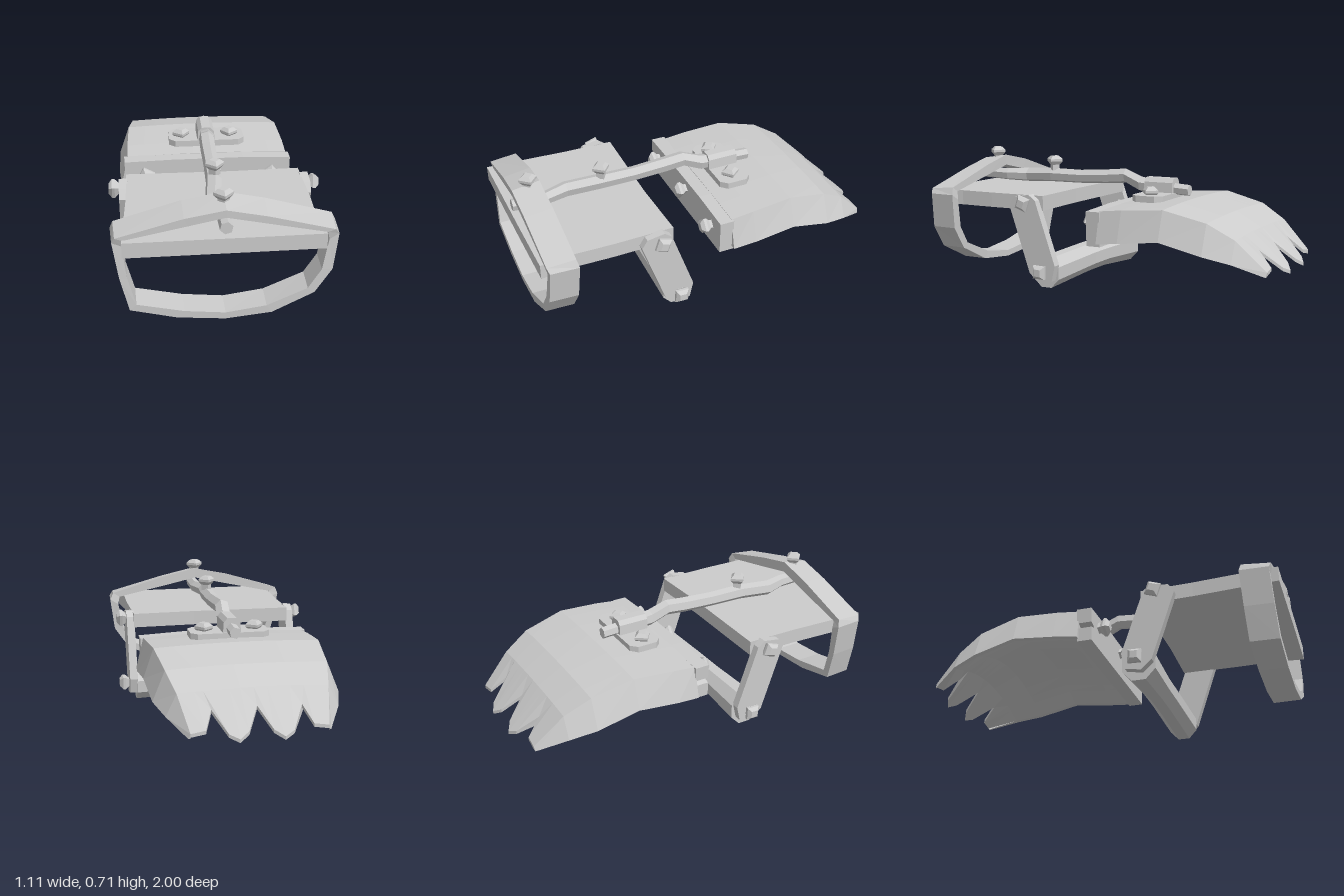
import * as THREE from 'three';

const metal = new THREE.MeshStandardMaterial({ color: 0xcccccc, flatShading: true, side: THREE.DoubleSide });
metal.name = 'grey metal';

// Skin a list of equal-length rings; either close it into a hoop or cap both ends
function loft(rings, hoop = false) {
  const n = rings[0].length, m = rings.length, idx = [];
  for (let r = 0; r < (hoop ? m : m - 1); r++) {
    for (let i = 0; i < n; i++) {
      const a = r * n + i, b = r * n + (i + 1) % n;
      const c = ((r + 1) % m) * n + i, d = ((r + 1) % m) * n + (i + 1) % n;
      idx.push(a, b, c, b, d, c);
    }
  }
  if (!hoop) {
    for (const [o, flip] of [[0, false], [(m - 1) * n, true]]) {
      for (let i = 0; i < n / 2 - 1; i++) {
        const a = o + i, b = o + i + 1, c = o + n - 2 - i, d = o + n - 1 - i;
        idx.push(...(flip ? [a, b, c, a, c, d] : [a, c, b, a, d, c]));
      }
    }
  }
  const g = new THREE.BufferGeometry();
  g.setAttribute('position', new THREE.Float32BufferAttribute(rings.flat(2), 3));
  g.setIndex(idx);
  const flat = g.toNonIndexed();
  flat.computeVertexNormals();
  return flat;
}

function extrude(points, depth) {
  const shape = new THREE.Shape(points.map(([x, y]) => new THREE.Vector2(x, y)));
  return new THREE.ExtrudeGeometry(shape, { depth, bevelEnabled: false });
}

export function createModel() {
  const model = new THREE.Group();
  const add = (name, geo, x = 0, y = 0, z = 0) => {
    const mesh = new THREE.Mesh(geo, metal);
    mesh.name = name;
    mesh.position.set(x, y, z);
    model.add(mesh);
    return mesh;
  };

  // Four-sided bolt with a flared head, pointing along dir
  const boltProfile = [[0, -0.02], [0.03, -0.02], [0.03, 0.012], [0.05, 0.032], [0.05, 0.046], [0.027, 0.064], [0, 0.064]]
    .map(([r, h]) => new THREE.Vector2(r, h));
  const boltGeo = new THREE.LatheGeometry(boltProfile, 4);
  const bolt = (name, x, y, z, dir, spin = 0.15) => {
    const b = add(name, boltGeo, x, y, z);
    b.quaternion.setFromUnitVectors(new THREE.Vector3(0, 1, 0), new THREE.Vector3(...dir));
    b.rotateY(spin);
    return b;
  };

  // Claw: rows are [z, top y, top half width, rim y, rim half width]; the underside is a shallow arch
  const rows = [
    [-0.07, 0.46, 0.45, 0.28, 0.49], [-0.2, 0.474, 0.45, 0.295, 0.5], [-0.43, 0.49, 0.44, 0.32, 0.495],
    [-0.66, 0.435, 0.415, 0.265, 0.48], [-0.8, 0.355, 0.38, 0.23, 0.435], [-0.95, 0.215, 0.34, 0.165, 0.35],
  ];
  // Tooth outline across the tip: [x, z], notches at -0.87
  const half = [[0, -0.87], [0.06, -0.97], [0.11, -1], [0.16, -0.975], [0.225, -0.87], [0.265, -0.95], [0.34, -0.955]];
  const teeth = [...half.slice(1).reverse().map(([x, z]) => [-x, z]), ...half];
  const shell = rows.map(([z, top, wt, rim, wr], r) => {
    const tip = r === rows.length - 1;
    const rise = (top - 0.035 - rim) * (0.7 + 0.06 * r);
    const outer = teeth.map(([tx, tz]) => {
      const u = tx / 0.34;
      if (tip) return [tx, 0.21 + (tz + 0.95) * 0.9 - 0.015 * u * u, tz];
      return [u * wt, top - 0.012 * u * u, z];
    });
    const inner = outer.map(([x, y, zz], i) => {
      const u = teeth[i][0] / 0.34;
      return tip ? [x, y - 0.018, zz] : [u * wr * 0.94, rim + rise * (1 - u * u), z];
    }).reverse();
    return [[-wr, rim, z], ...outer, [wr, rim, z], [wr * 0.97, rim, z], ...inner, [-wr * 0.97, rim, z]];
  });
  add('claw', loft(shell));

  // Bar across the mouth of the claw, with a small nick in its end
  add('clawBar', extrude([
    [-0.465, 0.265], [0.46, 0.26], [0.465, 0.445], [0.2, 0.457], [-0.2, 0.457], [-0.47, 0.45],
    [-0.465, 0.37], [-0.42, 0.355], [-0.465, 0.34],
  ], 0.08), 0, 0, -0.078);
  [[-0.35, 0.385], [0.02, 0.4], [0.35, 0.375]].forEach(([x, y], i) =>
    bolt('clawBarBolt', x, y, 0.004, [0, 0, 1], 0.3 - i * 0.2));

  // Mounting plate and clamp on top of the claw
  const p = 0.035;
  const plate = extrude([
    [-0.21 + p, -0.31], [0.22 - p, -0.31], [0.22, -0.31 + p], [0.22, -0.13 - p],
    [0.22 - p, -0.13], [-0.21 + p, -0.13], [-0.21, -0.13 - p], [-0.21, -0.31 + p],
  ], 0.035);
  plate.rotateX(Math.PI / 2);
  add('mountPlate', plate, 0, 0.51, 0);
  bolt('mountBolt', -0.14, 0.487, -0.215, [0, 1, 0], 0.15);
  bolt('mountBolt', 0.138, 0.487, -0.215, [0, 1, 0], -0.1);
  add('clamp', loft([-0.3, -0.13].map(z => [
    [-0.05, 0.5, z], [-0.045, 0.565, z], [-0.025, 0.588, z], [0.025, 0.588, z], [0.045, 0.565, z], [0.05, 0.5, z],
  ])));

  // Crooked shaft: [x, y, z, radius]
  const path = [
    [0, 0.56, 0.985, 0.033], [0, 0.555, 0.8, 0.036], [-0.035, 0.555, 0.68, 0.042], [-0.015, 0.565, 0.5, 0.042],
    [-0.012, 0.565, 0.3, 0.04], [-0.012, 0.575, 0.12, 0.042], [-0.01, 0.585, 0.01, 0.042],
    [0, 0.545, -0.09, 0.045], [0, 0.535, -0.2, 0.034], [0, 0.525, -0.385, 0.032],
  ];
  add('shaft', loft(path.map(([x, y, z, r]) => Array.from({ length: 6 }, (_, i) => {
    const a = i * Math.PI / 3 + 0.3;
    return [x + r * Math.cos(a), y + r * Math.sin(a), z];
  }))));
  bolt('shaftBolt', -0.01, 0.614, 0.485, [0, 1, 0], 0.1);

  // Thick deck with slightly uneven edges
  const deck = extrude([
    [-0.46, 0.27], [0.1, 0.28], [0.46, 0.27], [0.465, 0.6],
    [0.46, 0.8], [0.48, 0.985], [0.1, 0.99], [-0.49, 0.995], [-0.48, 0.8], [-0.465, 0.55],
  ], 0.08);
  deck.rotateX(Math.PI / 2);
  add('deck', deck, 0, 0.508, 0);

  // Legs at both sides, slanting from the deck to the lower bar
  const legGeo = extrude([
    [0.46, 0.455], [0.43, 0.5], [0.335, 0.515], [0.295, 0.485], [0.175, 0.14], [0.195, 0.055], [0.28, 0.04], [0.335, 0.09],
  ], 0.045);
  legGeo.rotateY(-Math.PI / 2);
  for (const s of [1, -1]) {
    const side = s > 0 ? 'left' : 'right';
    add(side + 'Leg', legGeo, s > 0 ? 0.5 : -0.455, 0, 0);
    bolt(side + 'LegUpperBolt', s * 0.49, 0.47, 0.355, [s, 0, 0], 0.45);
    bolt(side + 'LegLowerBolt', s * 0.49, 0.105, 0.255, [s, 0, 0], 0.75);
  }

  // Eight-sided lower bar, thinner in the middle
  add('lowerBar', loft([[-0.46, 0.097, 0.096], [-0.13, 0.105, 0.08], [0.05, 0.105, 0.08], [0.46, 0.092, 0.084]].map(([x, y, r]) =>
    Array.from({ length: 8 }, (_, i) => {
      const a = (i + 0.5) * Math.PI / 4;
      return [x, y + r * Math.sin(a) * 1.06, 0.255 + r * Math.cos(a)];
    }))));

  // Broad bent hoop: [outer x, outer y, inner x, inner y, z shift, drop of the front edge]
  const hoop = [
    [0, 0.67, 0, 0.61, 0.01, 0.022], [0.2, 0.625, 0.18, 0.57, 0.005, 0.02], [0.53, 0.53, 0.485, 0.505, 0, 0.012],
    [0.55, 0.49, 0.495, 0.46, -0.01, 0], [0.525, 0.3, 0.465, 0.3, 0, 0], [0.44, 0.175, 0.4, 0.2, 0.005, 0],
    [0.23, 0.075, 0.2, 0.115, 0.01, 0], [0, 0.05, 0, 0.085, 0.01, 0], [-0.24, 0.07, -0.2, 0.105, 0.01, 0],
    [-0.47, 0.125, -0.43, 0.155, 0.01, 0], [-0.515, 0.3, -0.47, 0.3, 0, 0], [-0.545, 0.49, -0.49, 0.47, -0.01, 0],
    [-0.53, 0.53, -0.485, 0.505, 0, 0.012], [-0.2, 0.63, -0.18, 0.57, 0.005, 0.02],
  ];
  add('hoop', loft(hoop.map(([ox, oy, ix, iy, dz, drop]) => [
    [ox, oy, 0.815 + dz], [ox * 0.985, oy - drop, 0.965 + dz],
    [ix, iy, 0.965 + dz], [ix * 1.01, iy, 0.815 + dz],
  ]), true));
  bolt('hoopBolt', -0.005, 0.653, 0.885, [0, 1, 0], 0.05);

  return model;
}
